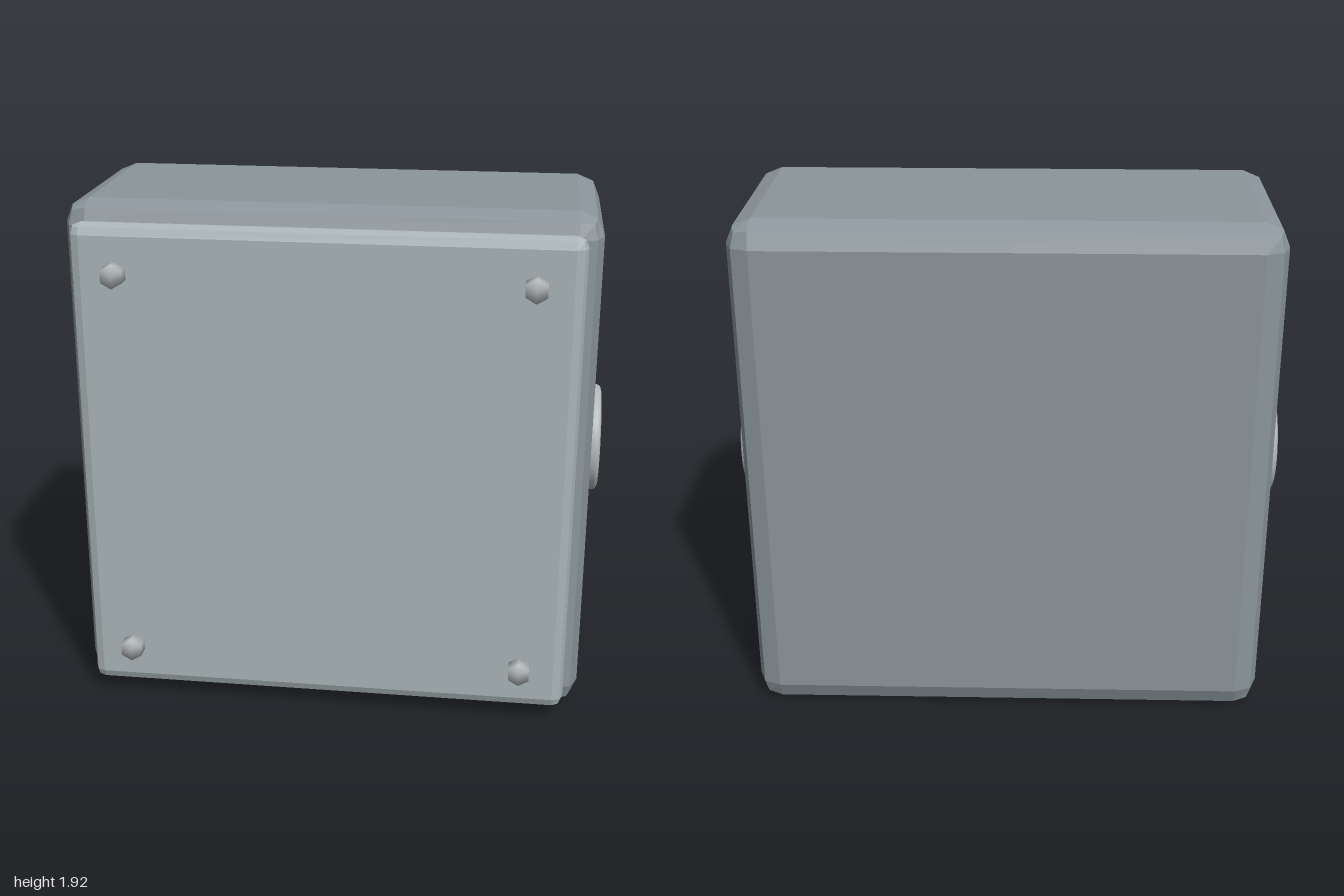
import * as THREE from 'three';
import { RoundedBoxGeometry } from 'three/addons/geometries/RoundedBoxGeometry.js';
import { mergeVertices } from 'three/addons/utils/BufferGeometryUtils.js';

const bodyPaint = new THREE.MeshStandardMaterial({ color: 0x8b959b, flatShading: true });
const coverPaint = new THREE.MeshStandardMaterial({ color: 0xaab5b7, flatShading: true });
const fittings = new THREE.MeshStandardMaterial({ color: 0xb3b9b9 });

// Weld all corners so that shading runs smoothly over every edge
function softened(geometry) {
  geometry.deleteAttribute('normal');
  geometry.deleteAttribute('uv');
  const welded = mergeVertices(geometry);
  welded.computeVertexNormals();
  return welded;
}

export function createModel() {
  const group = new THREE.Group();
  const add = (name, geometry, material, x, y, z) => {
    const mesh = new THREE.Mesh(geometry, material);
    mesh.name = name;
    mesh.position.set(x, y, z);
    group.add(mesh);
    return mesh;
  };

  // Enclosure and cover plate, both with two-step bevelled edges
  add('enclosure', new RoundedBoxGeometry(1.92, 1.92, 0.844, 1, 0.088), bodyPaint, 0, 0.96, -0.084);
  add('cover', new RoundedBoxGeometry(1.806, 1.806, 0.09, 1, 0.04), coverPaint, 0, 0.963, 0.402);

  // Hexagonal screw heads at the four corners of the cover
  const screw = softened(new THREE.CylinderGeometry(0.044, 0.044, 0.055, 6).rotateX(Math.PI / 2));
  for (const x of [-0.735, 0.735])
    for (const y of [0.23, 1.696]) add('screw', screw, fittings, x, y, 0.4785);

  // Round side plugs with a softened rim; the lathe axis points outward
  const profile = [[0, 0], [0.19, 0], [0.204, 0.012], [0.204, 0.044], [0.199, 0.055], [0.188, 0.06], [0, 0.06]]
    .map(([r, h]) => new THREE.Vector2(r, h));
  const plug = softened(new THREE.LatheGeometry(profile, 48));
  for (const side of [-1, 1]) {
    const mesh = add(side > 0 ? 'leftPlug' : 'rightPlug', plug, fittings, side * 0.94, 0.965, -0.085);
    mesh.rotation.z = -side * Math.PI / 2;
  }
  return group;
}
